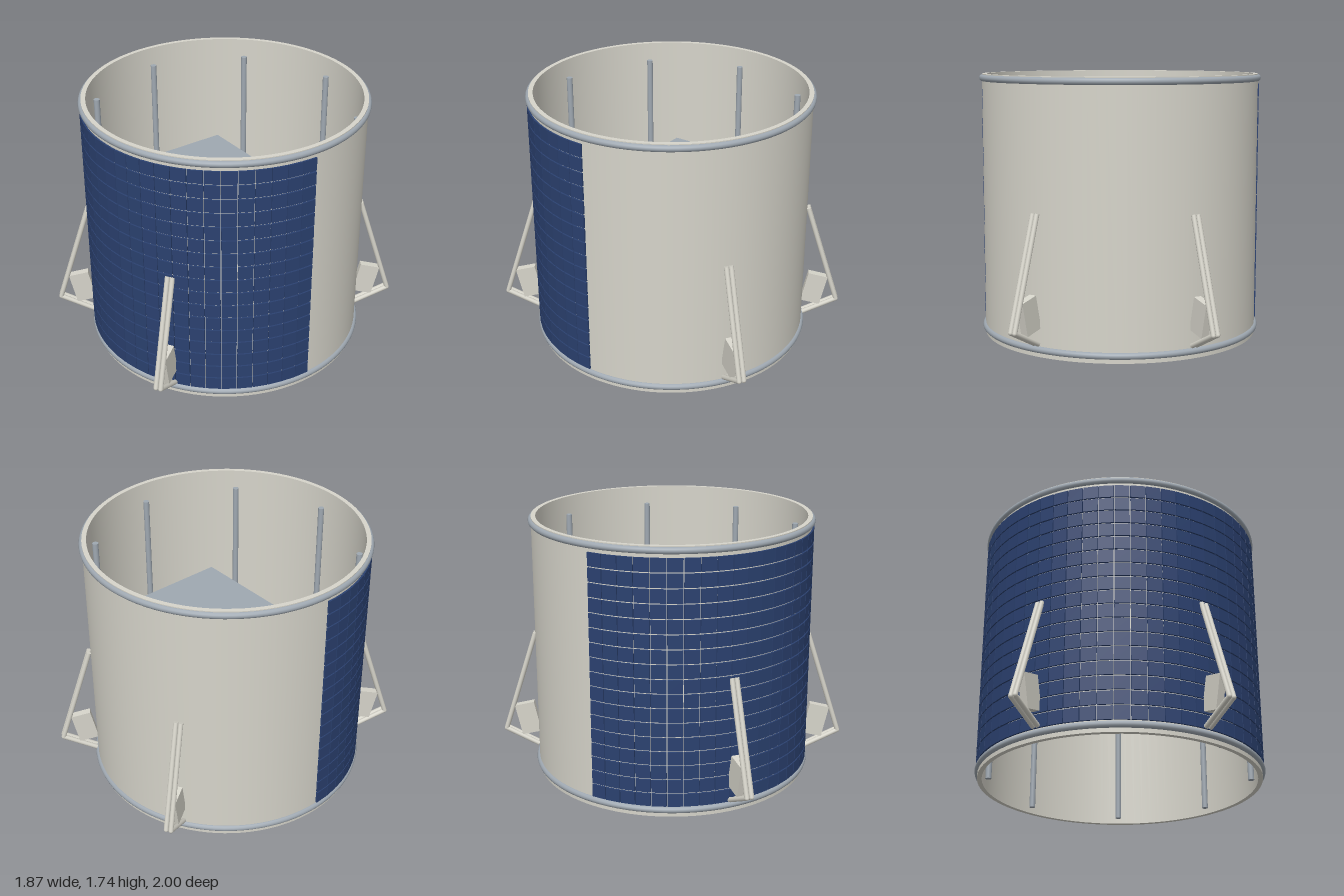
import * as THREE from 'three';
import { mergeGeometries } from 'three/addons/utils/BufferGeometryUtils.js';

const mat = (name, color) => {
  const m = new THREE.MeshStandardMaterial({ color });
  m.name = name;
  return m;
};

export function createModel() {
  const ivory = mat('ivory paint', 0xd6d4ca);
  const steel = mat('blue grey steel', 0x9fa8b1);
  const navy = mat('navy cell', 0x2b4170);

  const model = new THREE.Group();
  model.name = 'cylindricalModule';
  model.position.z = 0.01;

  const add = (parent, name, geometry, material, x = 0, y = 0, z = 0) => {
    const mesh = new THREE.Mesh(geometry, material);
    mesh.name = name;
    mesh.position.set(x, y, z);
    parent.add(mesh);
    return mesh;
  };

  // Open tube with wall thickness; doubled points keep the rims sharp
  const outer = 0.915, inner = 0.885, height = 1.735;
  const profile = [
    [outer, 0], [outer, height], [outer, height],
    [inner, height], [inner, height],
    [inner, 0], [inner, 0], [outer, 0],
  ].map(([r, y]) => new THREE.Vector2(r, y));
  add(model, 'shell', new THREE.LatheGeometry(profile, 96), ivory);

  // End rings
  const ringGeometry = new THREE.TorusGeometry(0.912, 0.022, 12, 96).rotateX(Math.PI / 2);
  add(model, 'bottomRing', ringGeometry, steel, 0, 0.047, 0);
  add(model, 'topRing', ringGeometry, steel, 0, 1.708, 0);

  // Cells covering the front half
  const rows = 17, columns = 29;
  const bottom = 0.07, pitch = 1.6 / rows, step = Math.PI / columns;
  for (let r = 0; r < rows; r++) {
    const cells = [];
    for (let c = 0; c < columns; c++) {
      const cell = new THREE.BoxGeometry(0.925 * step - 0.005, pitch - 0.009, 0.018);
      cell.translate(0, bottom + (r + 0.5) * pitch, 0.917);
      cell.rotateY((c - (columns - 1) / 2) * step);
      cells.push(cell);
    }
    add(model, 'cellRow' + (r + 1), mergeGeometries(cells), navy);
  }

  // Inner rods
  const rodGeometry = new THREE.CylinderGeometry(0.02, 0.02, 1.59, 16);
  for (let i = 0; i < 8; i++) {
    const a = (i * Math.PI) / 4;
    add(model, 'innerRod' + (i + 1), rodGeometry, steel, 0.848 * Math.sin(a), 0.825, 0.848 * Math.cos(a));
  }

  // Inner deck
  add(model, 'innerDeck', new THREE.BoxGeometry(1.11, 0.05, 0.67), steel, 0, 1.075, 0);

  // Legs: paired struts meeting at a foot, with a bracket against the wall
  const up = new THREE.Vector3(0, 1, 0);
  const strut = (leg, name, x, from, to) => {
    const a = new THREE.Vector3(x, from[1], from[0]);
    const b = new THREE.Vector3(x, to[1], to[0]);
    const dir = b.clone().sub(a);
    const mesh = add(leg, name, new THREE.CylinderGeometry(0.016, 0.016, dir.length(), 12), ivory);
    mesh.position.copy(a).add(b).multiplyScalar(0.5);
    mesh.quaternion.setFromUnitVectors(up, dir.normalize());
  };
  const foot = [1.15, 0.2];
  const azimuths = { frontLeftLeg: 33, frontRightLeg: -33, backLeftLeg: 147, backRightLeg: -149 };
  for (const [name, degrees] of Object.entries(azimuths)) {
    const leg = new THREE.Group();
    leg.name = name;
    leg.rotation.y = THREE.MathUtils.degToRad(degrees);
    for (const x of [-0.016, 0.016]) {
      strut(leg, 'upperStrut', x, foot, [0.925, 0.9]);
      strut(leg, 'lowerStrut', x, foot, [0.925, 0.085]);
      add(leg, 'footJoint', new THREE.SphereGeometry(0.016, 12, 8), ivory, x, foot[1], foot[0]);
    }
    const bracket = add(leg, 'bracket', new THREE.BoxGeometry(0.05, 0.22, 0.135), ivory, 0, 0.277, 0.995);
    bracket.rotation.x = 0.22;
    model.add(leg);
  }

  const root = new THREE.Group();
  root.name = 'model';
  root.add(model);
  return root;
}
